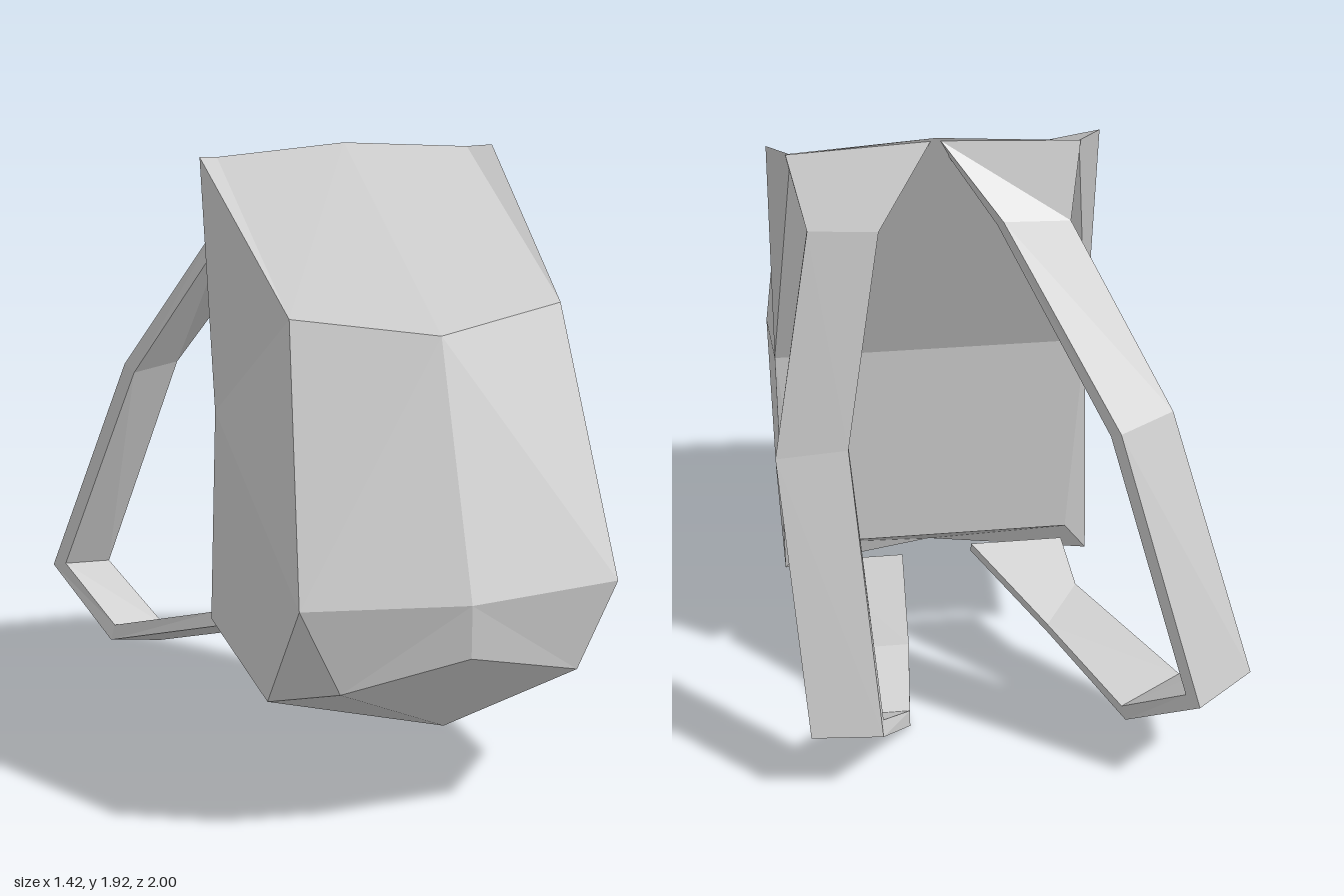
import * as THREE from 'three';

const material = new THREE.MeshStandardMaterial({ color: 0xcccccc, flatShading: true });
const BODY_X = 0.185; // the pack sits off centre because one strap swings out

// Fan-triangulate polygons given as lists of Vector3
function facetedMesh(name, polygons) {
  const points = [];
  for (const p of polygons)
    for (let i = 1; i < p.length - 1; i++) points.push(p[0], p[i], p[i + 1]);
  const geometry = new THREE.BufferGeometry().setFromPoints(points);
  geometry.computeVertexNormals();
  const mesh = new THREE.Mesh(geometry, material);
  mesh.name = name;
  return mesh;
}

// Pack body: one half as named corners, mirrored across its own middle
function createBody() {
  const corners = {
    A: [0, 1.92, -0.27], B: [0.43, 1.89, -0.27], C: [0.5, 1.9, -0.22],  // top back edge
    D: [0, 1.48, 0.7], E: [0.43, 1.53, 0.57],                           // lid front edge
    F: [0, 0.74, 1], G: [0.5, 0.74, 0.91],                              // front bulge
    H: [0, 0.575, 1], I: [0.375, 0.47, 0.91], J: [0.5, 0.33, 0.56],     // lower front
    K: [0, 0.275, 0.77], L: [0.27, 0.275, 0.45], M: [0, 0.275, 0.11],   // base
    N: [0.5, 0.36, -0.14], O: [0.43, 0.45, -0.14], P: [0, 0.45, -0.14], // lower back
    Q: [0.5, 1.1, -0.055], R: [0, 1.1, -0.055],                         // hollow of the back
  };
  const faces = [
    'ADEB', 'BEC',                 // lid
    'DFGE', 'FHIG',                // front
    'HKI', 'IKJ', 'GIJ',           // lower front bevels
    'KML', 'KLJ', 'LMN', 'LNJ',    // base
    'QCEGJN',                      // side
    'ABQR', 'BCQ', 'RQOP', 'QNO', 'MPON', // back
  ];
  const polygons = [];
  for (const side of [1, -1])
    for (const face of faces) {
      const p = [...face].map((k) => {
        const [x, y, z] = corners[k];
        return new THREE.Vector3(BODY_X + side * x, y, z);
      });
      // keep the fan origin first when reversing for the mirrored half
      polygons.push(side > 0 ? p : [p[0], ...p.slice(1).reverse()]);
    }
  return facetedMesh('body', polygons);
}

// Strap: a flat band through stations of two outer edge points (low x, high x)
function createStrap(name, stations, thickness = 0.05) {
  const edges = stations.map((s) => s.map((p) => new THREE.Vector3(...p)));
  const middles = edges.map(([a, b]) => a.clone().add(b).multiplyScalar(0.5));
  const last = edges.length - 1;
  const rings = edges.map(([a, b], i) => {
    const before = middles[i].clone().sub(middles[Math.max(i - 1, 0)]).normalize();
    const after = middles[Math.min(i + 1, last)].clone().sub(middles[i]).normalize();
    const tangent = before.clone().add(after).normalize();
    const mitre = i === 0 || i === last ? 1 : 1 / Math.max(0.5, tangent.dot(after));
    const inward = tangent.cross(b.clone().sub(a)).setLength(thickness * mitre);
    return [a, b, b.clone().add(inward), a.clone().add(inward)];
  });
  const polygons = [[...rings[0]], [...rings[last]].reverse()];
  for (let i = 0; i < last; i++)
    for (let j = 0; j < 4; j++) {
      const k = (j + 1) % 4;
      polygons.push([rings[i][k], rings[i + 1][k], rings[i + 1][j], rings[i][j]]);
    }
  return facetedMesh(name, polygons);
}

export function createModel() {
  const group = new THREE.Group();
  group.name = 'backpack';
  group.add(createBody());

  // Strap hanging straight back
  group.add(createStrap('leftStrap', [
    [[0.2, 1.91, -0.27], [0.63, 1.89, -0.27]],
    [[0.37, 1.68, -0.39], [0.58, 1.69, -0.38]],
    [[0.49, 1.04, -0.56], [0.71, 1.02, -0.55]],
    [[0.43, 0.21, -0.89], [0.65, 0.21, -0.87]],
    [[0.32, 0, -0.57], [0.54, 0, -0.57]],
    [[0.3, 0.12, -0.31], [0.53, 0.12, -0.31]],
    [[0.3, 0.37, -0.13], [0.6, 0.37, -0.13]],
  ]));

  // Strap swung outward
  group.add(createStrap('rightStrap', [
    [[-0.25, 1.89, -0.27], [0.17, 1.91, -0.27]],
    [[-0.21, 1.67, -0.36], [0, 1.7, -0.41]],
    [[-0.49, 1.14, -0.62], [-0.31, 1.14, -0.74]],
    [[-0.71, 0.35, -0.89], [-0.53, 0.31, -1]],
    [[-0.555, 0.13, -0.65], [-0.355, 0.08, -0.73]],
    [[-0.26, 0.28, -0.28], [-0.15, 0.21, -0.4]],
    [[-0.23, 0.37, -0.13], [0.07, 0.37, -0.13]],
  ]));
  return group;
}
